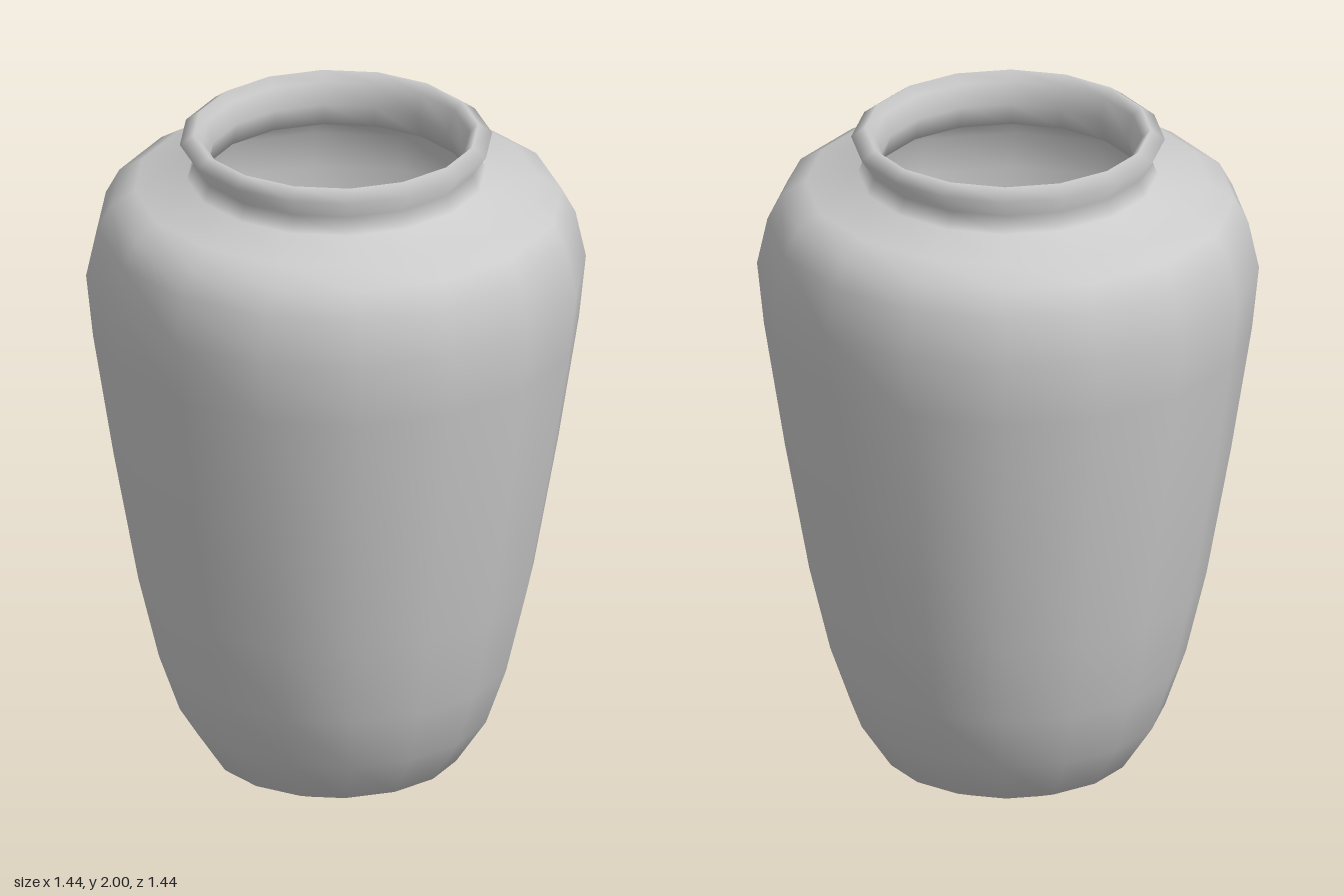
import * as THREE from 'three';

const SIDES = 16;

export function createModel() {
  const group = new THREE.Group();
  group.name = 'vase';

  // Profile as [radius, height]: up the outside, over the lip, down the inside
  const outerWall = [
    [0, 0], [0.26, 0.008], [0.36, 0.055], [0.45, 0.19], [0.51, 0.36],
    [0.57, 0.61], [0.64, 1.0], [0.70, 1.38], [0.72, 1.57],
    [0.69, 1.71], [0.65, 1.785], [0.58, 1.83],
  ];
  const neckAndLip = [
    [0.43, 1.86], [0.41, 1.91], [0.45, 1.97], [0.41, 2.0], [0.385, 1.975], [0.367, 1.91], [0.385, 1.84],
  ];
  const innerWall = [
    [0.56, 1.79], [0.62, 1.75], [0.655, 1.69], [0.68, 1.57], [0.66, 1.38],
    [0.60, 1.0], [0.53, 0.61], [0.47, 0.36], [0.41, 0.21], [0.33, 0.095],
    [0.24, 0.05], [0, 0.045],
  ];
  const profile = [...outerWall, ...neckAndLip, ...innerWall]
    .map(([r, y]) => new THREE.Vector2(r, y));

  // One hollow, smooth-shaded turned body
  const body = new THREE.Mesh(
    new THREE.LatheGeometry(profile, SIDES),
    new THREE.MeshStandardMaterial({ color: 0xcccccc })
  );
  body.name = 'vaseBody';
  group.add(body);

  return group;
}
